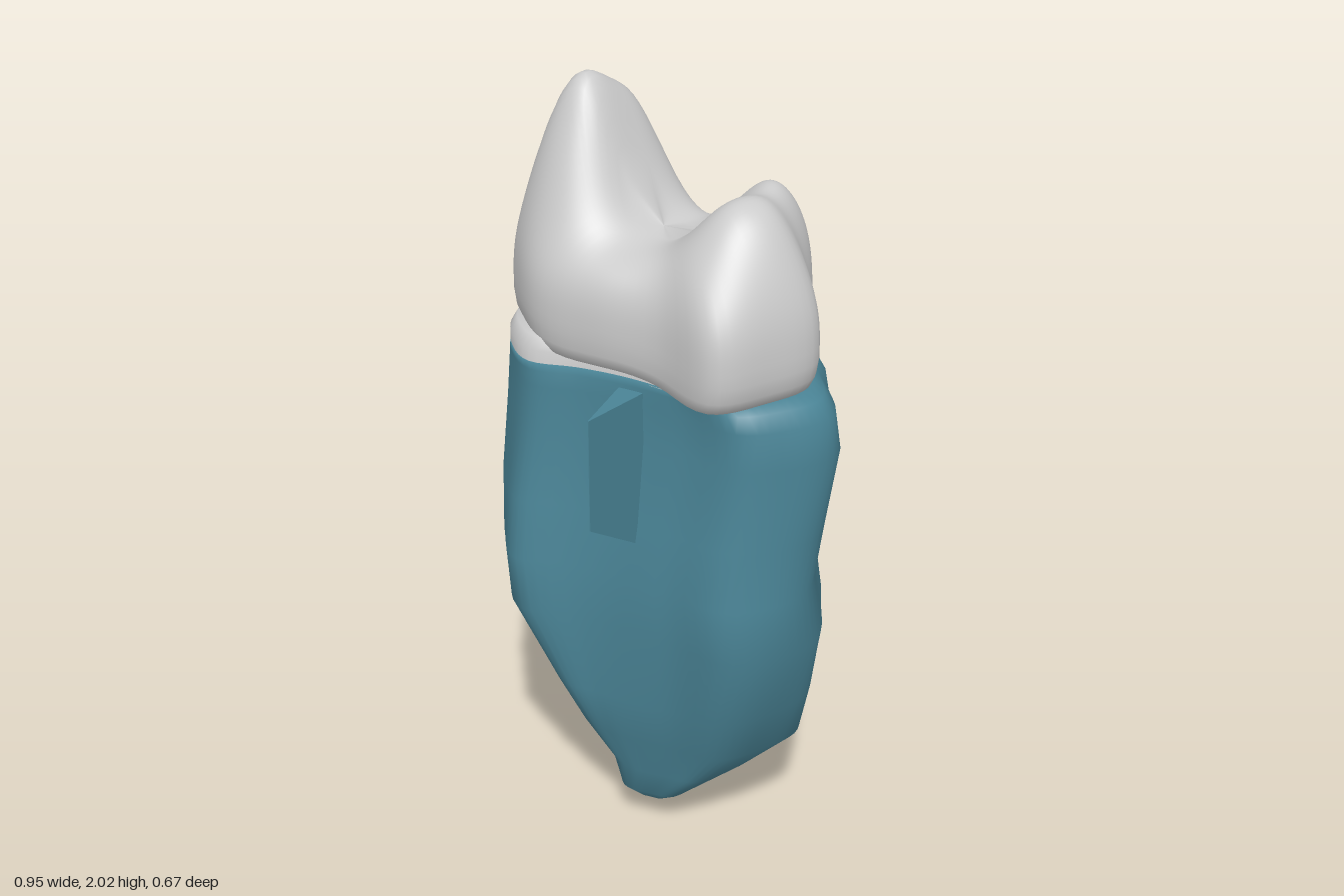
import * as THREE from 'three';

const N = 85; // points around every cross-section
const grey = new THREE.MeshStandardMaterial({ color: 0xcccccc, roughness: 0.7 });
const teal = new THREE.MeshStandardMaterial({ color: 0x4a8496, roughness: 0.7 });

// Smooth closed outline through a few [x, z] points, running from +x towards +z
function outline(points) {
  const curve = new THREE.CatmullRomCurve3(points.map(([x, z]) => new THREE.Vector3(x, 0, z)), true, 'centripetal');
  return Array.from({ length: N }, (_, i) => curve.getPoint(i / N));
}

// Skin closed rings of Vector3, listed from bottom to top
function loft(name, rings, material) {
  const index = [];
  for (let i = 0; i < rings.length - 1; i++) {
    for (let j = 0; j < N; j++) {
      const k = (j + 1) % N;
      const a = i * N + j, b = i * N + k, c = a + N, d = b + N;
      index.push(a, c, b, b, c, d);
    }
  }
  const geometry = new THREE.BufferGeometry().setFromPoints(rings.flat());
  geometry.setIndex(index);
  geometry.computeVertexNormals();
  const mesh = new THREE.Mesh(geometry, material);
  mesh.name = name;
  return mesh;
}

// Unit sections of the root: a broad flat front above, a narrower one below
const upperOutline = outline([
  [1, 0.1], [0.88, 0.6], [0.66, 0.95], [0.3, 0.86], [0, 0.83], [-0.3, 0.88], [-0.6, 1],
  [-0.84, 0.7], [-0.97, 0.25], [-1, -0.5], [-0.88, -0.8], [-0.6, -1], [-0.35, -0.9],
  [0, -1], [0.35, -0.91], [0.6, -0.99], [0.8, -0.5],
]);
const lowerOutline = outline([
  [1, -0.05], [0.85, 0.45], [0.62, 0.86], [0.3, 0.93], [0, 0.97], [-0.2, 1], [-0.4, 0.93],
  [-0.72, 0.5], [-0.95, 0.08], [-1, -0.45], [-0.88, -0.78], [-0.6, -0.97], [-0.35, -0.9],
  [0, -1], [0.35, -0.91], [0.6, -0.97], [0.84, -0.52],
]);

// Root levels: y, min x, max x, back z, front z
const rootLevels = [
  [0, -0.035, -0.03, -0.045, -0.04],
  [0.05, -0.085, 0.035, -0.1, 0.03],
  [0.12, -0.14, 0.13, -0.175, 0.105],
  [0.2, -0.2, 0.235, -0.25, 0.12],
  [0.32, -0.345, 0.365, -0.315, 0.16],
  [0.46, -0.395, 0.405, -0.34, 0.205],
  [0.68, -0.465, 0.465, -0.325, 0.235],
  [0.83, -0.468, 0.443, -0.315, 0.24],
  [0.98, -0.476, 0.453, -0.325, 0.21],
  [1.2, -0.455, 0.475, -0.315, 0.185],
  [1.3, -0.44, 0.458, -0.3, 0.185],
  [1.34, -0.435, 0.425, -0.295, 0.182],
  [1.36, -0.43, 0.385, -0.29, 0.18],
];

function rootRing([y, x0, x1, z0, z1]) {
  const blend = THREE.MathUtils.smoothstep(y, 0.3, 0.75);
  return upperOutline.map((upper, j) => {
    const p = lowerOutline[j].clone().lerp(upper, blend);
    // shallow flutes that wander and fade towards the ends
    const fade = Math.sin(Math.PI * Math.min(1, y / 1.36));
    const s = 1 - 0.023 * fade * (1 + Math.sin(j / N * Math.PI * 14 + y * 2.5));
    return new THREE.Vector3(
      (x0 + x1) / 2 + p.x * s * (x1 - x0) / 2, y,
      (z0 + z1) / 2 + p.z * s * (z1 - z0) / 2);
  });
}

// Crown footprint, relative to its middle
const MX = -0.02, MZ = -0.05;
const crownOutline = outline([
  [0.425, 0.0], [0.37, 0.13], [0.28, 0.24], [0.1, 0.19], [-0.08, 0.19], [-0.25, 0.165],
  [-0.36, 0.08], [-0.435, -0.03], [-0.4, -0.2], [-0.33, -0.29], [-0.2, -0.305],
  [-0.05, -0.295], [0.08, -0.285], [0.18, -0.305], [0.29, -0.23], [0.34, -0.12],
].map(([x, z]) => [x - MX, z - MZ]));

// Height of the biting surface: a tall cusp with a forward ridge, two low cusps
const cusps = [ // x, z, height, x spread, z spread
  [-0.265, -0.18, 0.33, 0.13, 0.14],
  [-0.265, 0.0, 0.16, 0.11, 0.09],
  [0.26, 0.03, 0.17, 0.115, 0.11],
  [0.25, -0.2, 0.17, 0.115, 0.09],
];
function biteHeight(x, z) {
  return cusps.reduce((h, [cx, cz, a, sx, sz]) => {
    const q = ((x - cx) / sx) ** 2 + ((z - cz) / sz) ** 2;
    return h + a * Math.exp(-(q ** 1.25) / 2);
  }, 1.665);
}

function crownRings() {
  const ring = (r, yAt) => crownOutline.map((p) => {
    const x = MX + p.x * r, z = MZ + p.z * r;
    return new THREE.Vector3(x, yAt(x, z), z);
  });
  // wavy lower lip, dipping at two opposite corners
  const lip = (x, z) => 1.38 - 0.03 * x - 0.2 * x * z + 0.006 * Math.sin(x * 17 + z * 9);
  const rings = [[0.87, 0], [0.95, 0.005], [0.985, 0.035]]
    .map(([r, up]) => ring(r, (x, z) => lip(x, z) + up));
  const steps = 36;
  for (let i = 0; i <= steps; i++) {
    const t = (i / steps) * Math.PI / 2;
    const r = Math.sqrt(Math.max(0, Math.cos(t)));
    const rise = Math.sin(t) ** 0.65;
    rings.push(ring(r, (x, z) => {
      const base = lip(x, z) + 0.075;
      return base + (biteHeight(x, z) - base) * rise;
    }));
  }
  return rings;
}

// Upright wedge tapering to a thin front edge, its underside sloping up
function makeFin() {
  const shape = new THREE.Shape([[-0.034, -0.14], [0.034, -0.14], [0.001, -0.335], [-0.001, -0.335]]
    .map(([x, y]) => new THREE.Vector2(x, y)));
  const geometry = new THREE.ExtrudeGeometry(shape, { depth: 0.42, bevelEnabled: false });
  geometry.rotateX(-Math.PI / 2).translate(0, 0.91, 0);
  const p = geometry.attributes.position;
  for (let i = 0; i < p.count; i++) {
    if (p.getY(i) < 1 && p.getZ(i) > 0.3) p.setY(i, 1.035);
  }
  geometry.computeVertexNormals();
  const fin = new THREE.Mesh(geometry, teal);
  fin.name = 'frontFin';
  return fin;
}

export function createModel() {
  const model = new THREE.Group();
  model.name = 'tooth';

  // Root, closed on top
  const root = rootLevels.map(rootRing);
  root.push(root[0].map(() => new THREE.Vector3(-0.02, 1.36, -0.05)));
  model.add(loft('root', root, teal));

  // Pale neck between root and crown
  const neck = [
    [1.355, -0.43, 0.385, -0.29, 0.18],
    [1.39, -0.432, 0.385, -0.285, 0.175],
    [1.42, -0.415, 0.375, -0.275, 0.16],
    [1.435, -0.36, 0.33, -0.23, 0.12],
  ].map(rootRing);
  model.add(loft('neck', neck, grey));

  model.add(loft('crown', crownRings(), grey));
  model.add(makeFin());
  return model;
}
